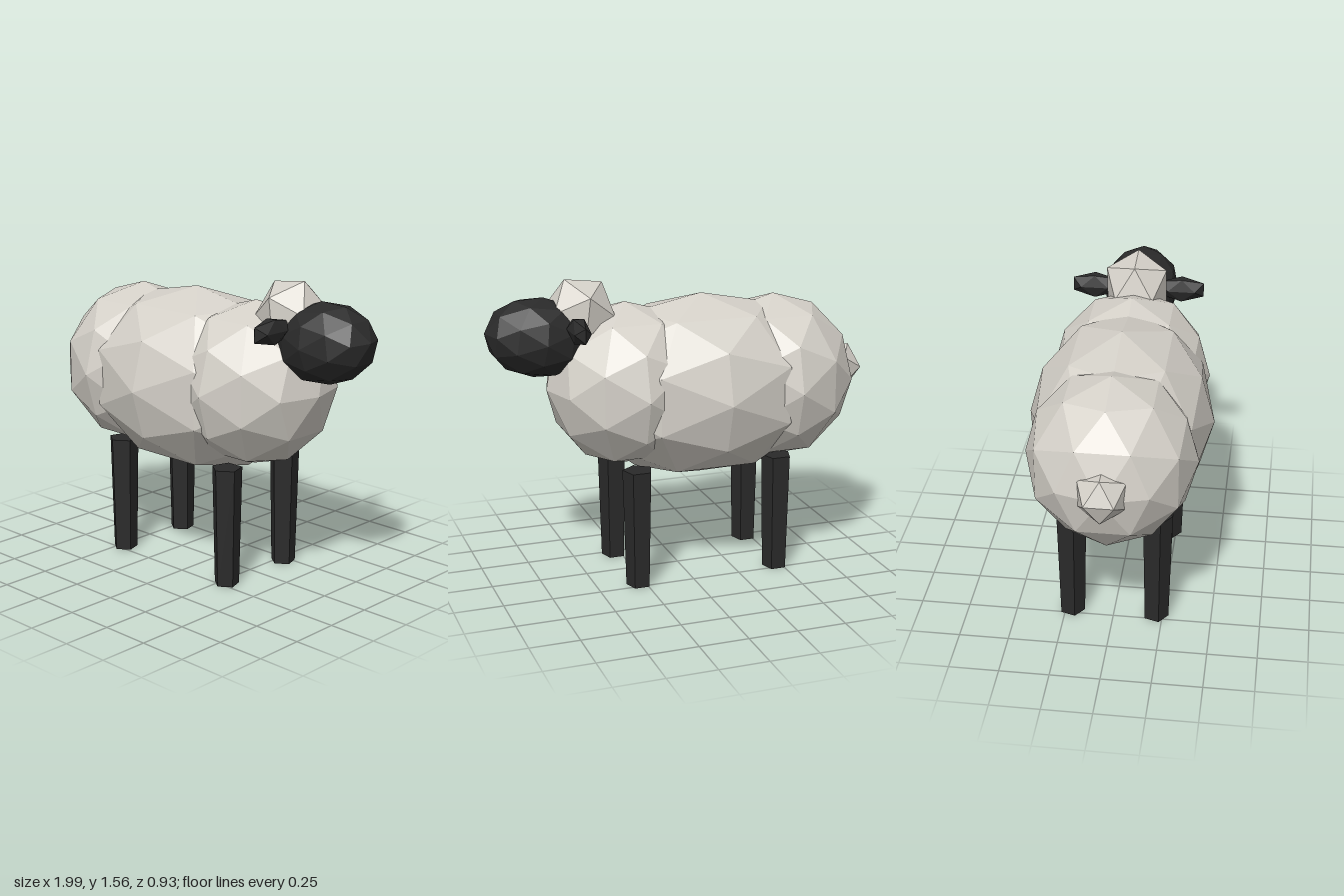
import * as THREE from 'three';

export function createModel() {
  const model = new THREE.Group();
  model.name = 'sheep';

  const wool = new THREE.MeshStandardMaterial({ color: 0xd4d0c8, flatShading: true });
  wool.name = 'wool';
  const dark = new THREE.MeshStandardMaterial({ color: 0x2a2a2a, flatShading: true });
  dark.name = 'darkSkin';

  // Faceted ellipsoid: centre, radii, subdivision and tilt about z
  function blob(name, material, [x, y, z], [rx, ry, rz], detail, tilt = 0) {
    const geometry = new THREE.IcosahedronGeometry(1, detail).scale(rx, ry, rz);
    const mesh = new THREE.Mesh(geometry, material);
    mesh.name = name;
    mesh.position.set(x, y, z);
    mesh.rotation.z = tilt;
    model.add(mesh);
  }

  // Fleece
  blob('bodyMiddle', wool, [-0.125, 0.97, 0], [0.68, 0.475, 0.465], 1);
  blob('bodyRear', wool, [-0.52, 0.98, 0], [0.42, 0.435, 0.42], 1);
  blob('bodyFront', wool, [0.28, 1.01, 0], [0.41, 0.42, 0.41], 1);
  blob('tail', wool, [-0.885, 0.995, 0], [0.135, 0.135, 0.135], 0);
  blob('woolTuft', wool, [0.51, 1.395, 0], [0.183, 0.183, 0.183], 0, 0.12);

  // Head
  blob('head', dark, [0.725, 1.282, 0], [0.27, 0.2, 0.2], 1, 0.15);

  // Ears and legs, mirrored across z
  for (const side of [1, -1]) {
    blob(side > 0 ? 'earNear' : 'earFar', dark, [0.58, 1.352, side * 0.23], [0.05, 0.071, 0.136], 0);
    for (const [end, x] of [['front', 0.285], ['rear', -0.465]]) {
      const leg = new THREE.Mesh(new THREE.CylinderGeometry(0.079, 0.065, 0.615, 5), dark);
      leg.name = end + (side > 0 ? 'LegNear' : 'LegFar');
      leg.position.set(x, 0.3075, side * 0.216);
      model.add(leg);
    }
  }
  return model;
}
